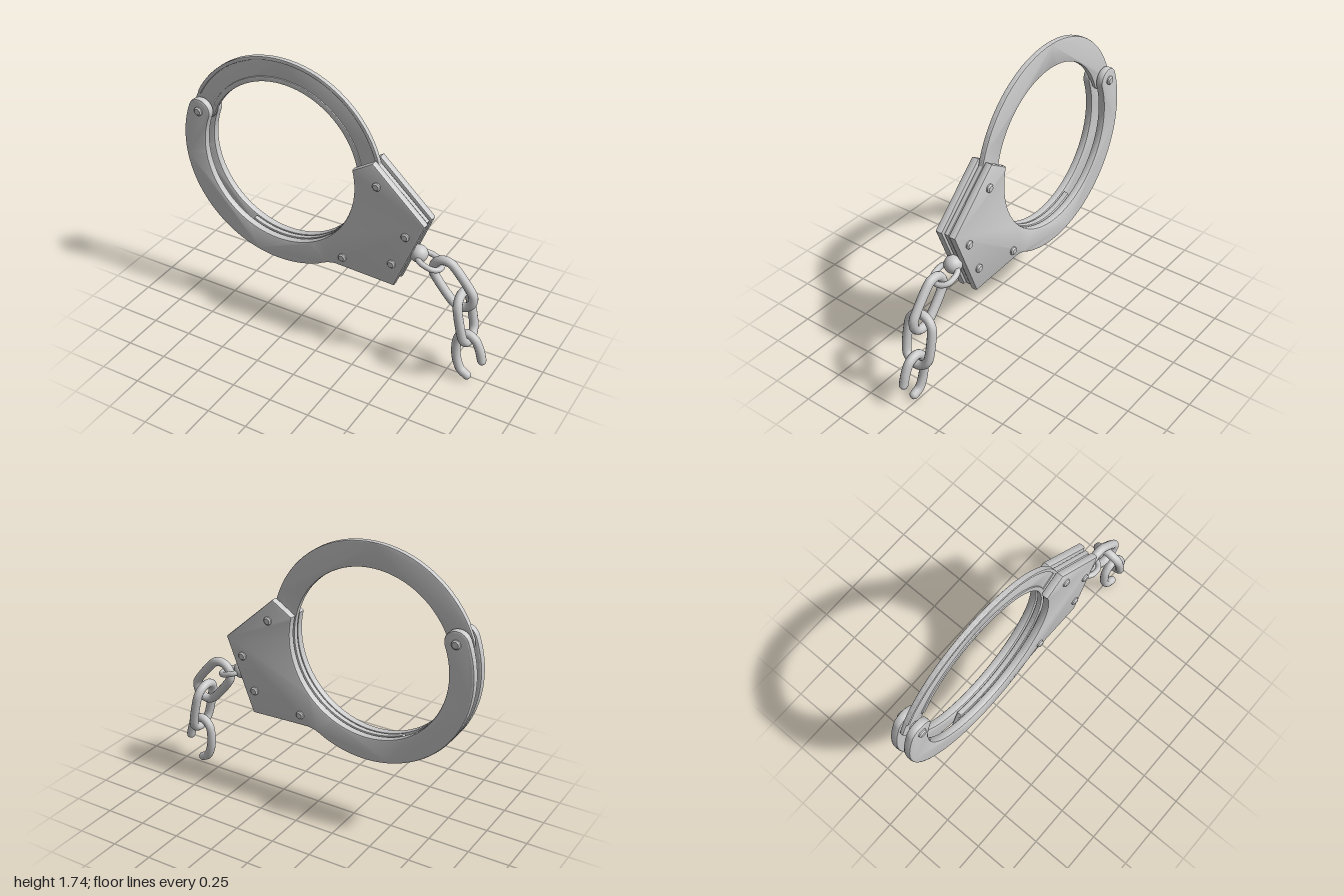
import * as THREE from 'three';
import { toCreasedNormals } from 'three/addons/utils/BufferGeometryUtils.js';

const CX = -0.35, CY = 1.09;          // ring centre
const R_IN = 0.5, R_OUT = 0.65, R_MID = 0.575;
const rad = THREE.MathUtils.degToRad;
const polar = (r, deg) => [CX + r * Math.cos(rad(deg)), CY + r * Math.sin(rad(deg))];
const HINGE = 158.6;                  // angle of the hinge on the ring

export function createModel() {
  const group = new THREE.Group();
  const mat = new THREE.MeshStandardMaterial({ color: 0xcccccc });

  const add = (name, geo, x = 0, y = 0, z = 0) => {
    const mesh = new THREE.Mesh(geo, mat);
    mesh.name = name;
    mesh.position.set(x, y, z);
    group.add(mesh);
    return mesh;
  };

  // flat plate between two z values with rounded edges kept inside the outline
  const plate = (name, shape, z0, z1, bevel) => {
    const geo = new THREE.ExtrudeGeometry(shape, {
      depth: z1 - z0 - 2 * bevel, curveSegments: 32, bevelEnabled: true,
      bevelThickness: bevel, bevelSize: bevel, bevelOffset: -bevel, bevelSegments: 2,
    });
    return add(name, toCreasedNormals(geo, rad(35)), 0, 0, z0 + bevel);
  };

  // ring sector, optionally with a round end at the hinge
  const sector = (r0, r1, a0, a1, roundEnd) => {
    const s = new THREE.Shape();
    s.absarc(CX, CY, r0, rad(a0), rad(a1), false);
    if (roundEnd) {
      const [x, y] = polar((r0 + r1) / 2, a1);
      s.absarc(x, y, (r1 - r0) / 2, rad(a1 + 180), rad(a1), true);
    }
    s.absarc(CX, CY, r1, rad(a1), rad(a0), true);
    s.closePath();
    return s;
  };

  // cheek plates: lower ring, hinge end and lock housing in one outline
  const cheek = new THREE.Shape();
  cheek.moveTo(...polar(R_IN, 13.8));
  cheek.lineTo(0.265, 1.29);
  cheek.lineTo(0.595, 0.985);
  cheek.lineTo(0.415, 0.525);
  cheek.lineTo(0.03, 0.54);
  cheek.quadraticCurveTo(-0.02, 0.535, ...polar(R_OUT, -65));
  cheek.absarc(CX, CY, R_OUT, rad(-65), rad(HINGE - 360), true);
  const [hx, hy] = polar(R_MID, HINGE);
  cheek.absarc(hx, hy, 0.075, rad(HINGE), rad(HINGE - 180), true);
  cheek.absarc(CX, CY, R_IN, rad(HINGE - 360), rad(13.8), false);
  plate('frontCheek', cheek, 0.022, 0.07, 0.012);
  plate('backCheek', cheek, -0.07, -0.022, 0.012);

  // spacer inside the lock housing
  const spacer = new THREE.Shape([
    [0.16, 1.2], [0.26, 1.275], [0.583, 0.98], [0.407, 0.536], [0.02, 0.55], [0.13, 0.8],
  ].map(([x, y]) => new THREE.Vector2(x, y)));
  plate('lockSpacer', spacer, -0.014, 0.014, 0.003);

  // swinging arm: thin arc with a shallow channel in its front face
  plate('swingArm', sector(R_IN, R_OUT, -115, HINGE, true), -0.016, 0.008, 0.006);
  plate('armOuterRim', sector(0.628, R_OUT, -115, 152), -0.004, 0.016, 0.004);
  plate('armInnerRim', sector(R_IN, 0.53, -115, 152), -0.004, 0.016, 0.004);

  // rivets through all plates, with softly rounded heads
  const rivet = (name, x, y, r) => {
    const h = 0.086, b = 0.008;
    const profile = [[0, -h], [r - b, -h], [r, -h + b], [r, h - b], [r - b, h], [0, h]]
      .map(([px, py]) => new THREE.Vector2(px, py));
    const geo = toCreasedNormals(new THREE.LatheGeometry(profile, 20).toNonIndexed(), rad(40));
    add(name, geo, x, y).rotation.x = Math.PI / 2;
  };
  rivet('hingePin', hx, hy, 0.027);
  [[0.295, 1.155], [0.48, 0.885], [0.4, 0.675], [0.08, 0.605]]
    .forEach(([x, y]) => rivet('housingRivet', x, y, 0.025));

  // swivel ball at the housing edge
  add('swivelBall', new THREE.SphereGeometry(0.053, 24, 16), 0.535, 0.752);

  // closed link: stadium path with its long side along local x
  const link = (name, halfLength, halfWidth, tube, x, y, tilt, upright) => {
    const pts = [];
    const straight = halfLength - halfWidth;
    for (let i = 0; i < 16; i++) {
      const a = (i + 0.5) / 16 * Math.PI * 2;
      pts.push(new THREE.Vector3(
        Math.cos(a) * halfWidth + Math.sign(Math.cos(a)) * straight, Math.sin(a) * halfWidth, 0));
    }
    const path = new THREE.CatmullRomCurve3(pts, true);
    const geo = new THREE.TubeGeometry(path, 64, tube, 12, true);
    if (upright) geo.rotateX(Math.PI / 2);
    add(name, geo, x, y).rotation.z = tilt;
  };
  link('swivelRing', 0.075, 0.06, 0.017, 0.605, 0.725, rad(-18), true);
  link('chainLinkUpper', 0.158, 0.074, 0.027, 0.754, 0.622, rad(-50), false);
  link('chainLinkMiddle', 0.158, 0.081, 0.027, 0.844, 0.424, rad(-78), true);

  // last link, broken open at the bottom
  const broken = new THREE.CatmullRomCurve3([
    [0.97, 0.17, 0.02], [0.95, 0.24, 0.018], [0.915, 0.3, 0.015], [0.86, 0.318, 0.012],
    [0.815, 0.28, 0.012], [0.803, 0.2, 0.014], [0.813, 0.12, 0.016], [0.843, 0.055, 0.02],
    [0.885, 0.03, 0.024],
  ].map((p) => new THREE.Vector3(...p)));
  add('brokenLink', new THREE.TubeGeometry(broken, 48, 0.027, 12, false));
  [broken.getPoint(0), broken.getPoint(1)].forEach((p) => {
    add('brokenLinkEnd', new THREE.SphereGeometry(0.027, 12, 10), p.x, p.y, p.z).scale.setScalar(0.98);
  });

  return group;
}
